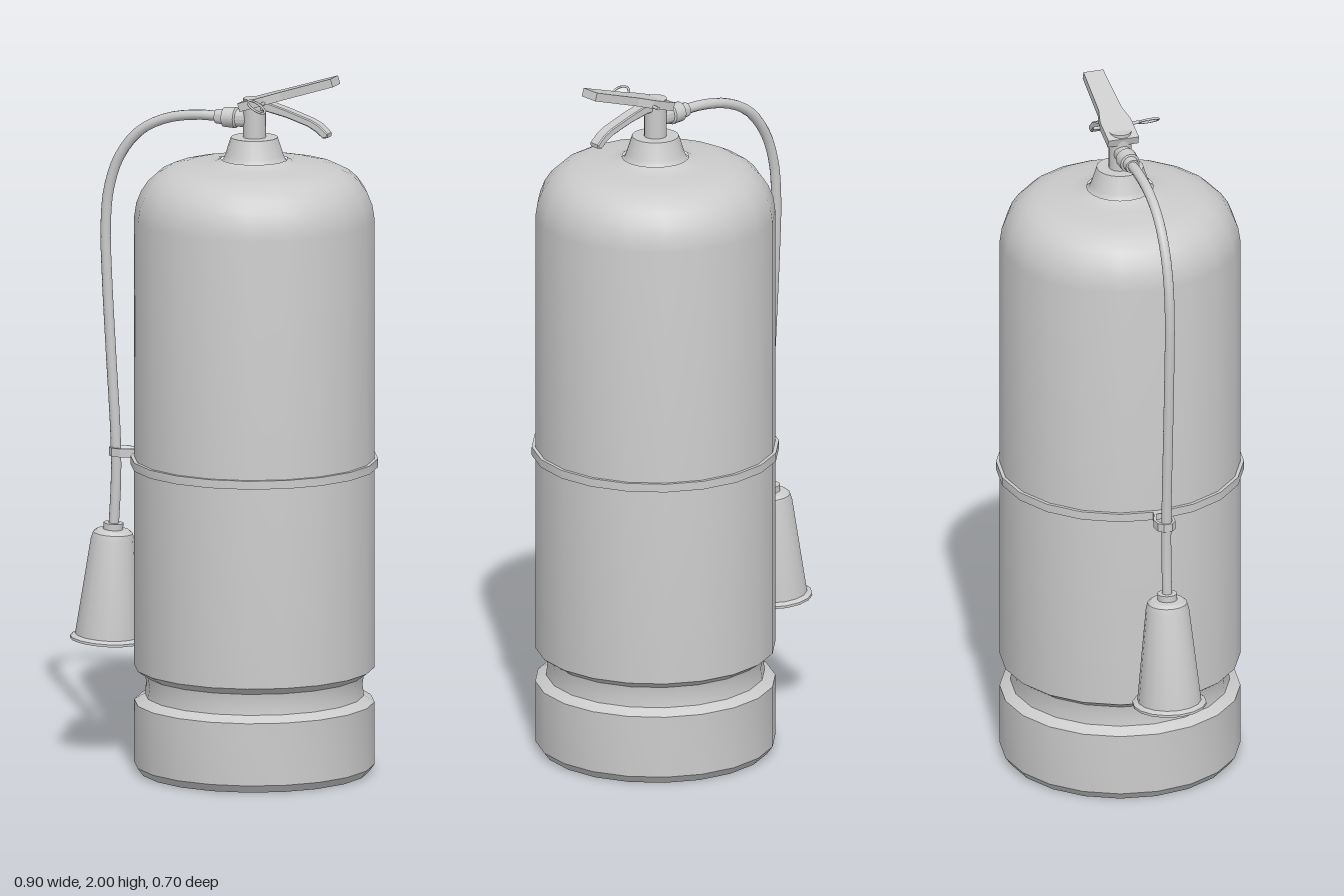
import * as THREE from 'three';
import { toCreasedNormals } from 'three/addons/utils/BufferGeometryUtils.js';

const CX = 0.098; // axis of the tank

export function createModel() {
  const model = new THREE.Group();
  model.name = 'fireExtinguisher';
  const grey = new THREE.MeshStandardMaterial({ color: 0xcccccc });
  const greyOpen = new THREE.MeshStandardMaterial({ color: 0xcccccc, side: THREE.DoubleSide });

  const add = (name, geometry, x = 0, y = 0, z = 0, material = grey) => {
    const mesh = new THREE.Mesh(geometry, material);
    mesh.name = name;
    mesh.position.set(x, y, z);
    model.add(mesh);
    return mesh;
  };
  const vec2 = (points) => points.map(([x, y]) => new THREE.Vector2(x, y));
  const lathe = (points, sides) => toCreasedNormals(new THREE.LatheGeometry(vec2(points), sides), 0.55);
  const extrude = (points, depth, bevel = 0) => {
    const g = new THREE.ExtrudeGeometry(new THREE.Shape(vec2(points)), {
      depth, bevelEnabled: bevel > 0, bevelSize: bevel, bevelThickness: bevel, bevelOffset: -bevel, bevelSegments: 1,
    });
    return g;
  };

  // Tank: foot ring, groove, straight wall and domed shoulder
  add('tank', lathe([
    [0, 0], [0.322, 0], [0.338, 0.022], [0.338, 0.2], [0.308, 0.218], [0.304, 0.25], [0.308, 0.278],
    [0.338, 0.299], [0.338, 1.58], [0.332, 1.62], [0.318, 1.655], [0.299, 1.683], [0.274, 1.706],
    [0.242, 1.722], [0.2, 1.731], [0.14, 1.737], [0.11, 1.742], [0.094, 1.75],
  ], 20), CX);

  // Neck collar
  add('neckCollar', lathe([
    [0.1, 1.738], [0.088, 1.748], [0.082, 1.762], [0.066, 1.812], [0, 1.812],
  ], 20), CX);

  // Strap around the tank
  add('strap', lathe([
    [0.33, 0.872], [0.348, 0.872], [0.348, 0.896], [0.33, 0.896],
  ], 20), CX);

  // Strap loop that holds the hose
  const loop = new THREE.Shape(vec2([
    [-0.235, -0.014], [-0.262, -0.018], [-0.295, -0.03], [-0.322, -0.026], [-0.336, -0.012],
    [-0.336, 0.012], [-0.322, 0.026], [-0.295, 0.03], [-0.262, 0.018], [-0.235, 0.014],
  ]));
  loop.holes.push(new THREE.Path(vec2([
    [-0.262, -0.01], [-0.295, -0.022], [-0.318, -0.019], [-0.329, 0],
    [-0.318, 0.019], [-0.295, 0.022], [-0.262, 0.01],
  ])));
  const loopGeometry = new THREE.ExtrudeGeometry(loop, { depth: 0.024, bevelEnabled: false });
  loopGeometry.rotateX(-Math.PI / 2);
  add('hoseLoop', loopGeometry, 0, 0.872, 0);

  // Valve stem
  add('valveStem', new THREE.CylinderGeometry(0.032, 0.032, 0.118, 16), CX, 1.864, 0);

  // Hose coupling, turned along x
  const coupling = lathe([
    [0, -0.02], [0.02, -0.02], [0.022, 0.002], [0.028, 0.004], [0.03, 0.04], [0.025, 0.044], [0.025, 0.075], [0, 0.075],
  ], 16);
  coupling.rotateZ(-Math.PI / 2);
  add('hoseCoupling', coupling, 0.003, 1.863, 0);

  // Hose
  const hosePath = new THREE.CatmullRomCurve3([
    [0.0, 1.864], [-0.08, 1.863], [-0.17, 1.846], [-0.25, 1.803], [-0.31, 1.725], [-0.341, 1.63],
    [-0.35, 1.52], [-0.346, 1.38], [-0.335, 1.18], [-0.32, 0.92], [-0.319, 0.8], [-0.326, 0.665],
  ].map(([x, y]) => new THREE.Vector3(x, y, 0)));
  add('hose', new THREE.TubeGeometry(hosePath, 48, 0.0145, 10), 0, 0, 0);

  // Discharge horn, hollow and slightly tilted
  const horn = add('dischargeHorn', lathe([
    [0.014, 0.01], [0.028, 0.01], [0.028, -0.008], [0.046, -0.01], [0.056, -0.018], [0.061, -0.036],
    [0.09, -0.312], [0.104, -0.319], [0.104, -0.326], [0.088, -0.326], [0.056, -0.036], [0, -0.025],
  ].reverse(), 16), -0.327, 0.668, 0, greyOpen);
  horn.rotation.z = -0.06;

  // Upper lever: plate that narrows to the grip, tilted up
  const leverGeometry = extrude([
    [0, -0.045], [0.08, -0.045], [0.128, -0.034], [0.288, -0.029],
    [0.288, 0.029], [0.128, 0.034], [0.08, 0.045], [0, 0.045],
  ], 0.024);
  leverGeometry.rotateX(-Math.PI / 2);
  const lever = add('upperLever', leverGeometry, 0.071, 1.89, 0);
  lever.rotation.z = 0.308;

  // Lower carrying handle, bent down at its end
  const handleGeometry = extrude([
    [0.09, 1.892], [0.14, 1.89], [0.2, 1.877], [0.265, 1.856], [0.29, 1.842], [0.31, 1.825], [0.324, 1.828],
    [0.325, 1.839], [0.3, 1.862], [0.275, 1.875], [0.2, 1.9], [0.14, 1.917], [0.09, 1.917],
  ], 0.03, 0.003);
  add('carryingHandle', handleGeometry, 0, 0, -0.015);

  // Safety pin and its pull ring
  const pin = add('safetyPin', new THREE.CylinderGeometry(0.005, 0.005, 0.136, 8), 0.143, 1.919, 0.003);
  pin.rotation.x = Math.PI / 2;
  const ringGeometry = new THREE.TorusGeometry(0.028, 0.0035, 6, 24);
  ringGeometry.rotateX(Math.PI / 2);
  const ring = add('pullRing', ringGeometry, 0.143, 1.919, 0.1);
  ring.rotation.z = -0.6;

  return model;
}
